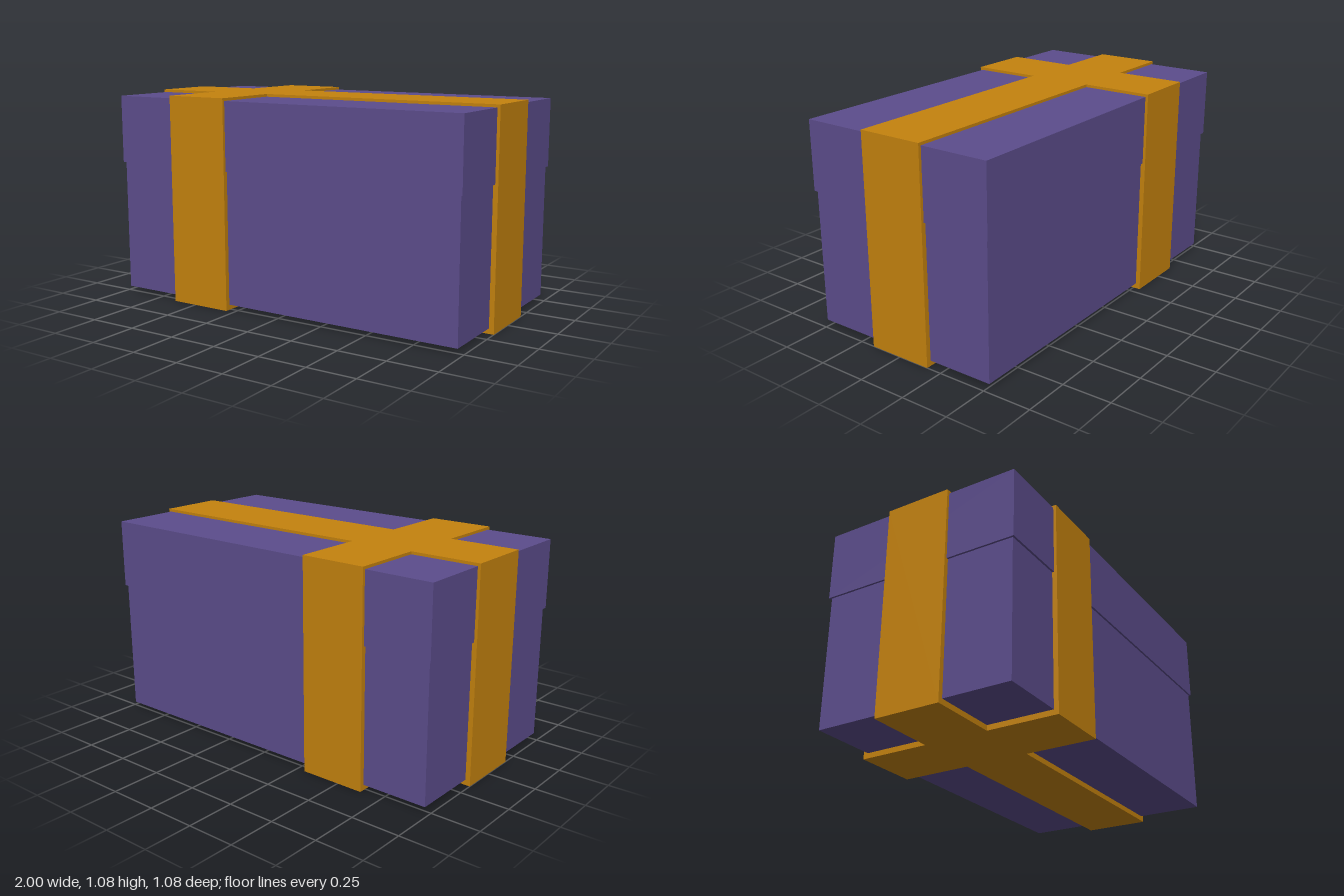
import * as THREE from 'three';

export function createModel() {
  const group = new THREE.Group();
  const purple = new THREE.MeshStandardMaterial({ color: 0x5c4d8c, flatShading: true });
  const gold = new THREE.MeshStandardMaterial({ color: 0xc4820e, flatShading: true });

  function add(name, geometry, material, y = 0) {
    const mesh = new THREE.Mesh(geometry, material);
    mesh.name = name;
    mesh.position.y = y;
    group.add(mesh);
  }

  function addBox(name, width, depth, bottom, top) {
    const geometry = new THREE.BoxGeometry(width, top - bottom, depth);
    add(name, geometry, purple, (bottom + top) / 2);
  }

  // Box body and its slightly wider lid
  addBox('boxBody', 1.95, 1.026, 0.027, 0.71);
  addBox('lid', 1.97, 1.046, 0.71, 1.061);

  // Two crossing ribbons: a cross-shaped footprint raised over the full height
  const endX = 1, endZ = 0.5375, halfBand = 0.17;
  const left = -0.635, right = -0.295;
  const cross = new THREE.Shape([
    [-endX, -halfBand], [left, -halfBand], [left, -endZ], [right, -endZ],
    [right, -halfBand], [endX, -halfBand], [endX, halfBand], [right, halfBand],
    [right, endZ], [left, endZ], [left, halfBand], [-endX, halfBand],
  ].map(([x, z]) => new THREE.Vector2(x, z)));
  const ribbon = new THREE.ExtrudeGeometry(cross, { depth: 1.075, bevelEnabled: false });
  ribbon.rotateX(-Math.PI / 2);
  add('ribbon', ribbon, gold);

  return group;
}
